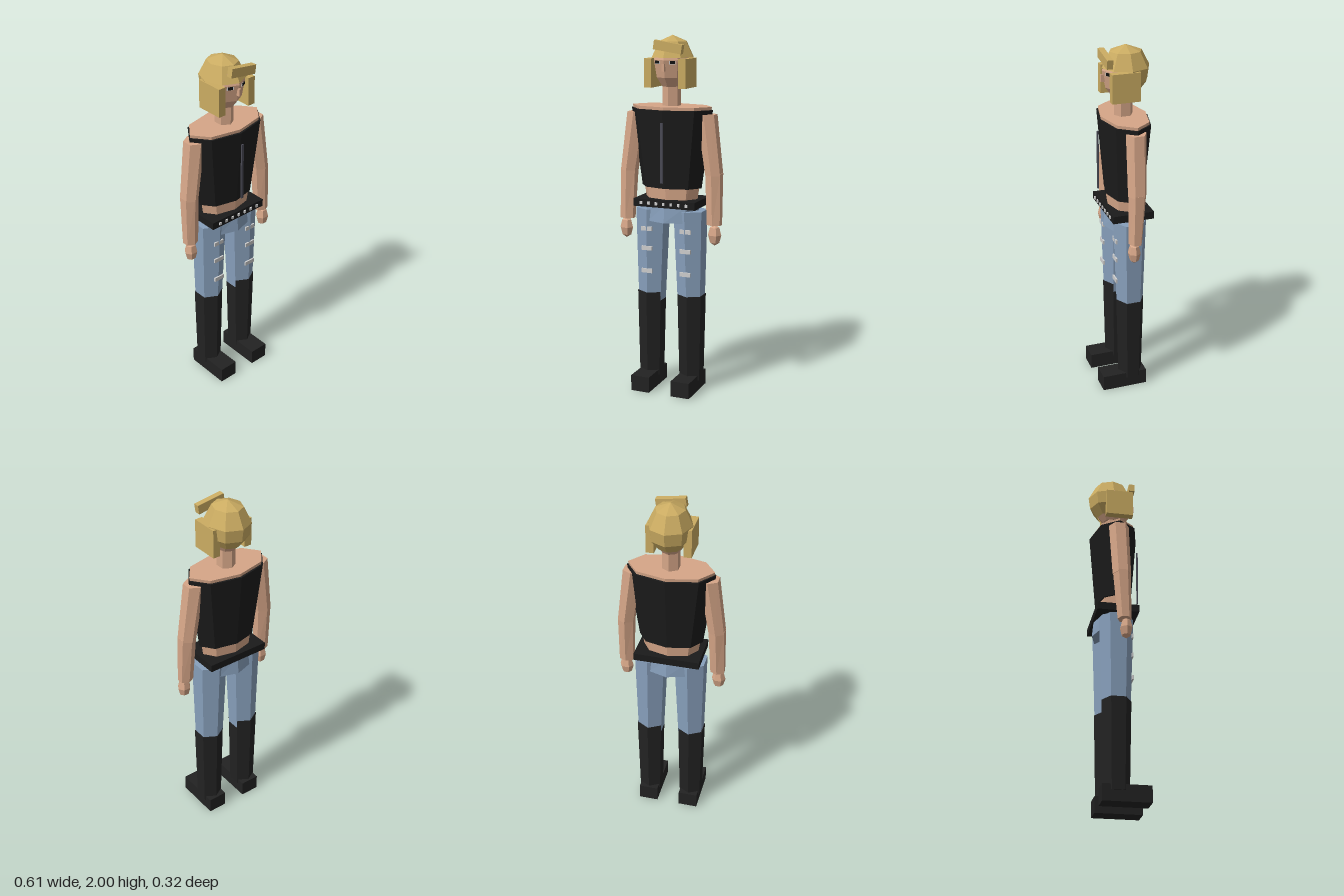
import * as THREE from 'three';

const paint = (name, color) => {
  const m = new THREE.MeshStandardMaterial({ color, flatShading: true, side: THREE.DoubleSide });
  m.name = name;
  return m;
};

export function createModel() {
  const model = new THREE.Group();
  const skin = paint('skin', 0xd6a688);
  const hair = paint('blond hair', 0xcbac62);
  const vestBlack = paint('vest black', 0x1b1b1b);
  const bootBlack = paint('boot black', 0x222222);
  const denim = paint('denim', 0x88a0bc);
  const pale = paint('pale grey', 0xcfcfcf);
  const zipGrey = paint('zip grey', 0x4a4a55);
  const eyeBlack = paint('eye black', 0x111111);

  const add = (name, geometry, material, x = 0, y = 0, z = 0) => {
    const mesh = new THREE.Mesh(geometry, material);
    mesh.name = name;
    mesh.position.set(x, y, z);
    model.add(mesh);
    return mesh;
  };
  const box = (name, material, w, h, d, x, y, z) =>
    add(name, new THREE.BoxGeometry(w, h, d), material, x, y, z);

  // Faceted tube between two level rings; each ring is [x, y, z, radiusX, radiusZ]
  const tube = (name, material, top, bottom, sides) => {
    const g = new THREE.CylinderGeometry(1, 1, 1, sides);
    const p = g.attributes.position;
    for (let i = 0; i < p.count; i++) {
      const [x, y, z, rx, rz] = p.getY(i) > 0 ? top : bottom;
      p.setXYZ(i, x + p.getX(i) * rx, y, z + p.getZ(i) * rz);
    }
    return add(name, g, material);
  };

  // Torso, vest and hips
  const cz = -0.017;
  tube('torso', skin, [0, 1.62, cz, 0.235, 0.126], [0, 1.08, cz, 0.15, 0.088], 8);
  tube('vest', vestBlack, [0, 1.603, cz, 0.241, 0.137], [0, 1.17, cz, 0.178, 0.101], 8);
  box('zip', zipGrey, 0.014, 0.33, 0.008, 0, 1.373, 0.127);
  tube('hips', denim, [0, 1.075, cz, 0.165, 0.107], [0, 0.98, cz, 0.155, 0.117], 8);

  // Belt with a row of studs
  box('belt', vestBlack, 0.366, 0.042, 0.233, 0, 1.087, -0.0165);
  for (let i = -3; i <= 3; i++) box('beltStud', pale, 0.014, 0.016, 0.008, i * 0.0445, 1.088, 0.103);

  // Limbs, mirrored
  for (const s of [-1, 1]) {
    tube('leg', denim, [s * 0.113, 1.045, cz, 0.096, 0.096], [s * 0.12, 0.5, cz, 0.077, 0.077], 6);
    tube('boot', bootBlack, [s * 0.122, 0.56, cz, 0.081, 0.081], [s * 0.123, 0.06, cz, 0.07, 0.07], 6);
    box('shoe', bootBlack, 0.11, 0.09, 0.26, s * 0.122, 0.045, 0.03);
    for (const y of [0.935, 0.823, 0.692]) box('jeansRip', pale, 0.064, 0.024, 0.009, s * 0.116, y, 0.069);

    tube('upperArm', skin, [s * 0.207, 1.58, -0.018, 0.057, 0.057], [s * 0.254, 1.25, -0.01, 0.05, 0.052], 6);
    tube('forearm', skin, [s * 0.254, 1.26, -0.01, 0.05, 0.05], [s * 0.262, 0.975, 0.002, 0.044, 0.038], 6);
    const hand = add('hand', new THREE.SphereGeometry(1, 6, 4), skin, s * 0.267, 0.92, 0.01);
    hand.scale.set(0.039, 0.06, 0.035);
  }

  // Neck and head
  tube('neck', skin, [0, 1.76, cz, 0.05, 0.052], [0, 1.6, cz, 0.05, 0.052], 6);
  const profile = [[0, 1.725], [0.052, 1.725], [0.083, 1.775], [0.099, 1.87], [0.08, 1.93], [0, 1.96]];
  const head = add('head', new THREE.LatheGeometry(profile.map(([r, y]) => new THREE.Vector2(r, y)), 8), skin, 0, 0, -0.016);
  head.scale.z = 1.18;

  // Eyes and nose
  for (const s of [-1, 1]) {
    const white = box('eyeWhite', pale, 0.036, 0.017, 0.008, s * 0.042, 1.857, 0.077);
    const eye = box('eye', eyeBlack, 0.026, 0.015, 0.008, s * 0.0435, 1.858, 0.08);
    white.rotation.y = eye.rotation.y = s * 0.44;
  }
  box('nose', skin, 0.014, 0.04, 0.022, 0, 1.83, 0.096);

  // Hair: full crown, rear half below it, side panels and a slanted fringe
  const crown = add('hairCrown', new THREE.SphereGeometry(1, 8, 2, 0, Math.PI * 2, 0, Math.PI * 0.46), hair, 0, 1.865, -0.03);
  const back = add('hairBack', new THREE.SphereGeometry(1, 4, 2, Math.PI, Math.PI, Math.PI * 0.46, Math.PI * 0.34), hair, 0, 1.865, -0.03);
  for (const part of [crown, back]) part.scale.set(0.12, 0.135, 0.133);
  for (const s of [-1, 1]) box('hairSide', hair, 0.043, 0.157, 0.156, s * 0.1, 1.799, 0.005);
  box('fringe', hair, 0.163, 0.05, 0.033, 0.025, 1.94, 0.089).rotation.z = -0.15;

  return model;
}
